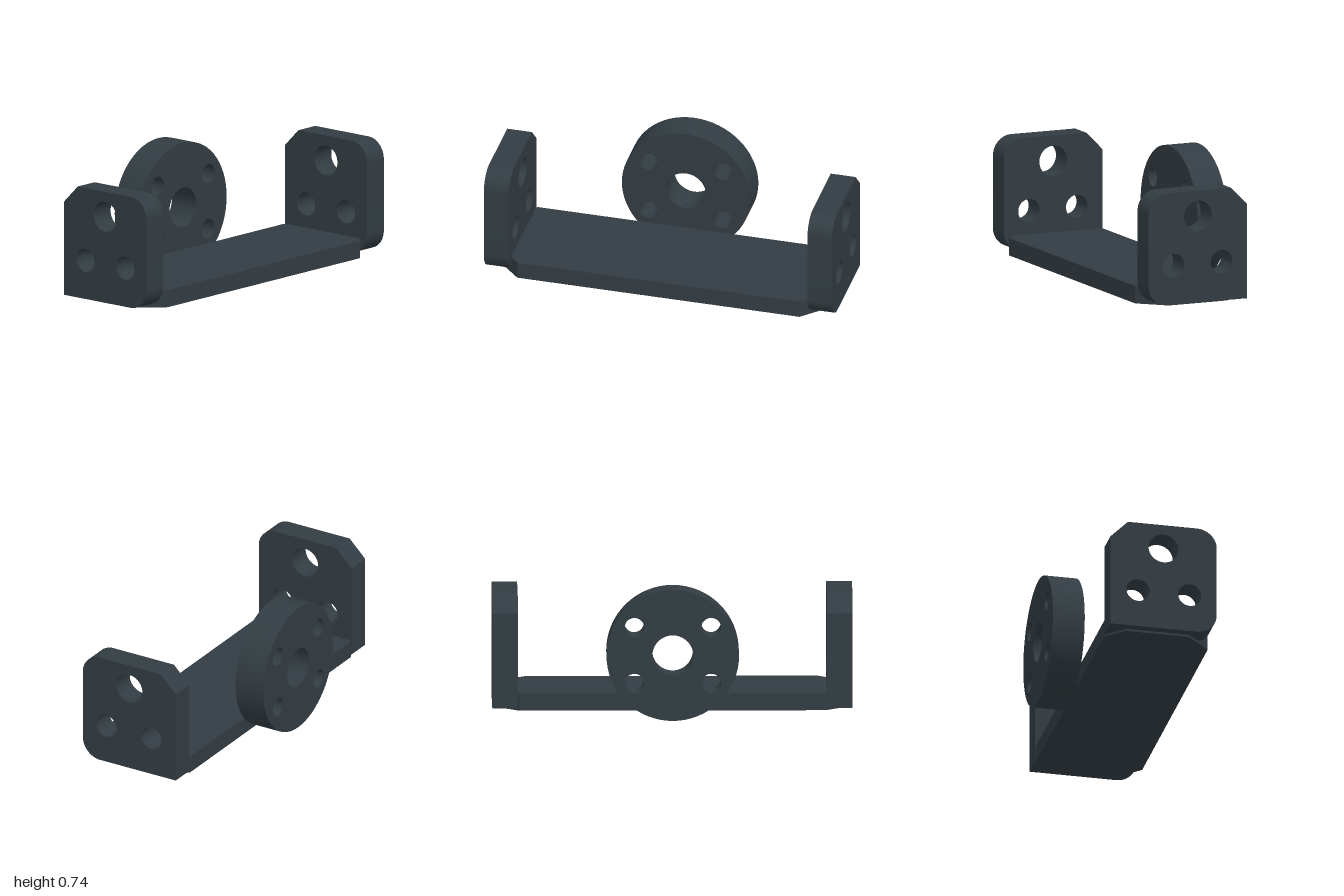
import * as THREE from 'three';
import { toCreasedNormals } from 'three/addons/utils/BufferGeometryUtils.js';

// Round holes given as [x, y, radius]
function addHoles(shape, holes) {
  for (const [x, y, r] of holes) {
    const path = new THREE.Path();
    path.absarc(x, y, r, 0, Math.PI * 2, true);
    shape.holes.push(path);
  }
}

// Extruded plate with smooth curves and sharp edges
function plate(shape, depth) {
  const geo = new THREE.ExtrudeGeometry(shape, { depth, bevelEnabled: false, curveSegments: 32 });
  return toCreasedNormals(geo, 0.5);
}

export function createModel() {
  const group = new THREE.Group();
  const metal = new THREE.MeshStandardMaterial({ color: 0x323c42 });
  metal.name = 'darkSlate';

  const add = (name, geo) => {
    const mesh = new THREE.Mesh(geo, metal);
    mesh.name = name;
    group.add(mesh);
    return mesh;
  };

  // Base plate: long strip with chamfered corners
  const base = new THREE.Shape([
    [0.385, -0.81], [0.385, 0.81], [0.245, 0.95], [-0.113, 0.95],
    [-0.213, 0.85], [-0.213, -0.85], [-0.113, -0.95], [0.245, -0.95],
  ].map(([x, z]) => new THREE.Vector2(x, z)));
  add('basePlate', plate(base, 0.098).rotateX(-Math.PI / 2)).position.y = 0.03;

  // End brackets: two rounded corners, one chamfered, three holes
  const left = -0.213, right = 0.393, bottom = 0.043, top = 0.675, r = 0.113;
  const bracket = new THREE.Shape();
  bracket.moveTo(left, bottom);
  bracket.lineTo(right - r, bottom);
  bracket.absarc(right - r, bottom + r, r, -Math.PI / 2, 0, false);
  bracket.lineTo(right, top - r);
  bracket.absarc(right - r, top - r, r, 0, Math.PI / 2, false);
  bracket.lineTo(left + 0.1, top);
  bracket.lineTo(left, top - 0.1);
  addHoles(bracket, [[0.09, 0.533, 0.085], [-0.055, 0.263, 0.066], [0.239, 0.263, 0.066]]);
  const bracketGeo = plate(bracket, 0.142);
  add('frontBracket', bracketGeo).position.z = 0.858;
  add('backBracket', bracketGeo).position.z = -1;

  // Mounting disc: centre bore and four bolt holes
  const disc = new THREE.Shape();
  disc.absarc(0, 0, 0.368, 0, Math.PI * 2, false);
  const holes = [[0, 0, 0.113]];
  for (const sx of [-1, 1]) for (const sy of [-1, 1]) holes.push([sx * 0.213, sy * 0.157, 0.054]);
  addHoles(disc, holes);
  add('mountingDisc', plate(disc, 0.181).rotateY(Math.PI / 2)).position.set(-0.394, 0.368, 0);

  return group;
}
